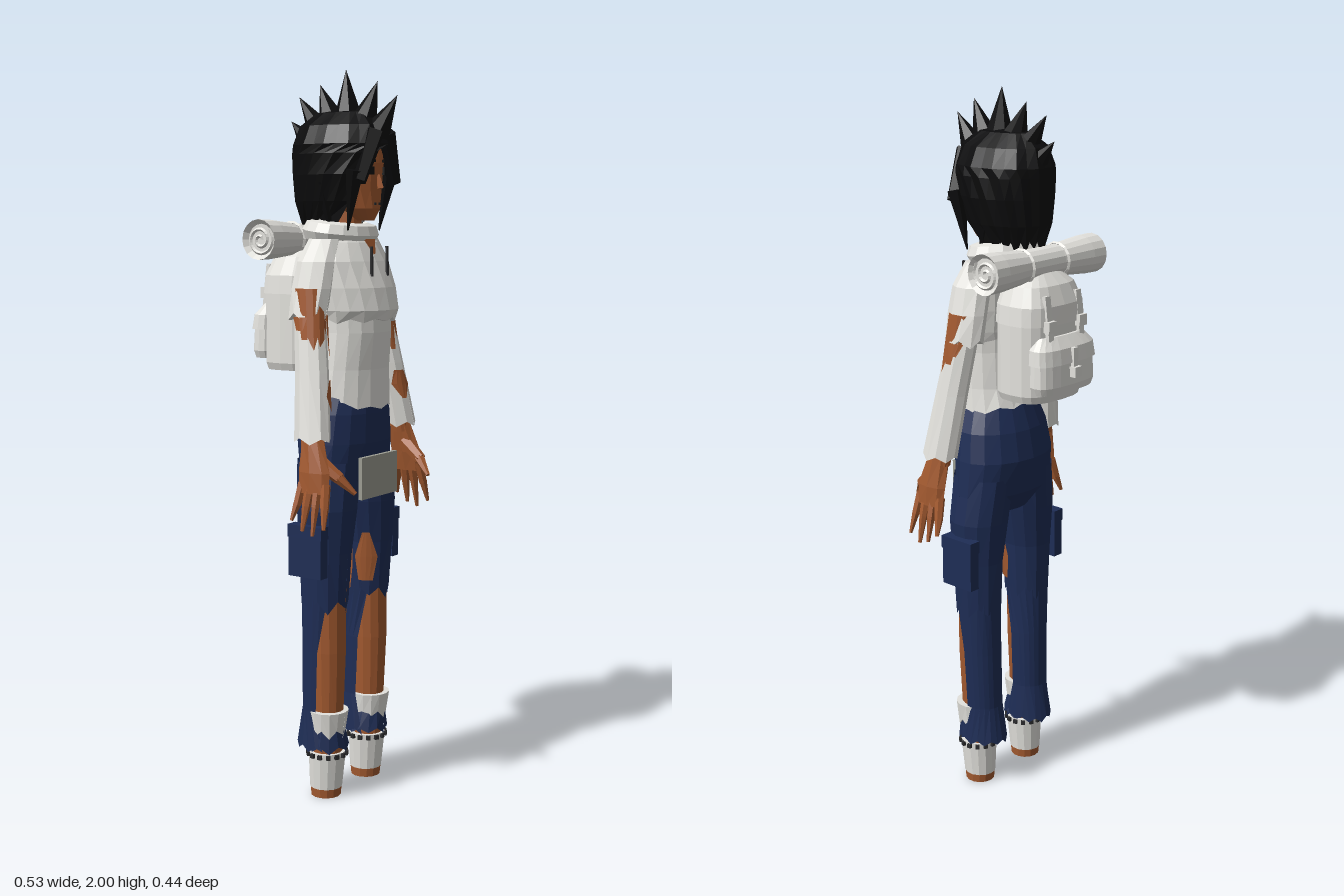
import * as THREE from 'three';

const mat = (name, color, side = THREE.DoubleSide) => {
  const m = new THREE.MeshStandardMaterial({ color, side });
  m.name = name;
  return m;
};

export function createModel() {
  const root = new THREE.Group();
  root.name = 'traveller';
  const skin = mat('skin', 0xa35a30), cloth = mat('offWhiteCloth', 0xe3e2dd), navy = mat('navyDenim', 0x1e2d55);
  const black = mat('blackHair', 0x0b0b0c), grey = mat('greyPanel', 0x9d9e93), dark = mat('darkCord', 0x2c2c2e);

  const add = (name, geo, m, parent = root) => {
    const g = geo.index ? geo.toNonIndexed() : geo;
    g.computeVertexNormals();
    const mesh = new THREE.Mesh(g, m);
    mesh.name = name;
    parent.add(mesh);
    return mesh;
  };

  // Skin over rings [y, cx, cz, rx, rz, opening], listed bottom to top.
  // opening: half-angle left open around direction "face"; rag: jagged bottom hem;
  // tilt: hem raised at the back; wave: strand ridges; p: squareness; s: mirror side.
  function loft(name, rings, m, o = {}) {
    const { seg = 14, s = 1, p = 1, rag = 0, tilt = 0, wave = 0, cap = true, face = 0, parent = root } = o;
    const pw = v => Math.sign(v) * Math.abs(v) ** p;
    const pts = rings.map(([y, cx, cz, rx, rz, gap = 0], i) =>
      Array.from({ length: seg + 1 }, (_, j) => {
        const a = face + gap + (2 * Math.PI - 2 * gap) * j / seg;
        const k = 1 + (j % 2 ? -wave : wave);
        const dy = i ? 0 : (j % 2 ? rag : -rag * 0.3 * (j % 3)) + tilt * (1 - Math.cos(a)) / 2;
        return [s * (cx + rx * k * pw(Math.sin(a))), y + dy, cz + rz * k * pw(Math.cos(a))];
      }));
    const out = [];
    const tri = (a, b, c) => s > 0 ? out.push(...a, ...b, ...c) : out.push(...a, ...c, ...b);
    for (let i = 0; i + 1 < pts.length; i++)
      for (let j = 0; j < seg; j++) {
        const a = pts[i][j], b = pts[i][j + 1], c = pts[i + 1][j + 1], d = pts[i + 1][j];
        tri(a, b, c);
        tri(a, c, d);
      }
    if (cap) {
      const n = pts.length - 1, mid = r => [s * r[1], r[0], r[2]];
      for (let j = 0; j < seg; j++) {
        tri(mid(rings[0]), pts[0][j + 1], pts[0][j]);
        tri(mid(rings[n]), pts[n][j], pts[n][j + 1]);
      }
    }
    const g = new THREE.BufferGeometry();
    g.setAttribute('position', new THREE.Float32BufferAttribute(out, 3));
    return add(name, g, m, parent);
  }
  function box(name, [w, h, d], [x, y, z], m, parent = root) {
    const b = add(name, new THREE.BoxGeometry(w, h, d), m, parent);
    b.position.set(x, y, z);
    return b;
  }
  // Tapered rod from one point to another
  function rod(name, from, to, r0, r1, m, parent = root, seg = 6) {
    const a = new THREE.Vector3(...from), b = new THREE.Vector3(...to), d = b.clone().sub(a);
    const mesh = add(name, new THREE.CylinderGeometry(r1, r0, d.length(), seg), m, parent);
    mesh.position.copy(a).add(b).multiplyScalar(0.5);
    mesh.quaternion.setFromUnitVectors(new THREE.Vector3(0, 1, 0), d.normalize());
    return mesh;
  }

  // Torso and clothing
  loft('trouserSeat', [[0.84, 0, 0.055, 0.08, 0.06], [0.9, 0, 0.055, 0.168, 0.098], [1.0, 0, 0.053, 0.16, 0.113],
    [1.08, 0, 0.06, 0.147, 0.104], [1.16, 0, 0.07, 0.115, 0.085]], navy, { seg: 18 });
  box('frontPanel', [0.175, 0.115, 0.012], [-0.002, 0.907, 0.166], grey);
  loft('shirtBody', [[1.09, 0, 0.072, 0.125, 0.102], [1.2, 0, 0.08, 0.118, 0.091], [1.3, 0, 0.088, 0.113, 0.092],
    [1.38, 0, 0.085, 0.115, 0.09]], cloth, { seg: 18, cap: false, tilt: 0.06, rag: 0.008 });
  loft('shirtTop', [[1.33, 0, 0.09, 0.118, 0.1], [1.36, 0, 0.093, 0.13, 0.107], [1.42, 0, 0.082, 0.138, 0.104],
    [1.49, 0, 0.065, 0.145, 0.09], [1.54, 0, 0.055, 0.115, 0.075], [1.58, 0, 0.045, 0.07, 0.055]],
    cloth, { seg: 18, rag: 0.008 });
  const hood = add('rolledHood', new THREE.TorusGeometry(0.09, 0.033, 7, 16).rotateX(Math.PI / 2), cloth);
  hood.scale.set(1, 0.95, 0.78);
  hood.position.set(0, 1.568, 0.04);
  hood.rotation.x = 0.12;
  const vee = new THREE.Shape([new THREE.Vector2(-0.022, 0.02), new THREE.Vector2(0, -0.022), new THREE.Vector2(0.022, 0.02)]);
  const neckline = add('openNeckline', new THREE.ExtrudeGeometry(vee, { depth: 0.006, bevelEnabled: false }), skin);
  neckline.position.set(0, 1.528, 0.139);
  neckline.rotation.x = -0.4;

  // Legs, arms and hands, mirrored
  for (const s of [1, -1]) {
    const parent = new THREE.Group();
    parent.name = s > 0 ? 'leftLimbs' : 'rightLimbs';
    root.add(parent);
    const o = { s, parent };
    loft('leg', [[0, 0.1, 0.06, 0.042, 0.042], [0.03, 0.1, 0.06, 0.044, 0.045], [0.2, 0.102, 0.066, 0.04, 0.045],
      [0.42, 0.103, 0.068, 0.049, 0.052], [0.62, 0.102, 0.066, 0.052, 0.054]], skin, o);
    loft('trouserThigh', [[0.545, 0.102, 0.058, 0.06, 0.068], [0.7, 0.102, 0.06, 0.068, 0.075],
      [0.82, 0.095, 0.06, 0.083, 0.085], [0.95, 0.08, 0.055, 0.08, 0.09]], navy, { ...o, cap: false, rag: 0.022 });
    loft('tornTrouserBack', [[0.14, 0.098, 0.05, 0.062, 0.078, 1.1], [0.25, 0.098, 0.048, 0.054, 0.058, 1.35],
      [0.42, 0.1, 0.052, 0.056, 0.06, 1.3], [0.58, 0.102, 0.058, 0.06, 0.067, 0.9]],
      navy, { ...o, cap: false, rag: 0.01 });
    loft('innerThighTear', [[0.59, 0.102, 0.058, 0.066, 0.073, 2.85], [0.66, 0.102, 0.06, 0.07, 0.077, 2.7],
      [0.73, 0.101, 0.06, 0.073, 0.079, 3.0]], skin, { ...o, seg: 4, cap: false, face: 2.1 });
    box('thighPocket', [0.032, 0.14, 0.108], [s * 0.178, 0.71, 0.055], navy, parent);
    box('pocketFlap', [0.036, 0.035, 0.112], [s * 0.178, 0.765, 0.055], navy, parent);
    loft('upperAnkleWrap', [[0.185, 0.104, 0.07, 0.05, 0.05], [0.25, 0.104, 0.072, 0.057, 0.056]], cloth, { ...o, rag: 0.014 });
    loft('trouserCuff', [[0.14, 0.098, 0.065, 0.06, 0.06], [0.2, 0.102, 0.068, 0.048, 0.048]], navy, { ...o, rag: 0.012, cap: false });
    loft('lowerAnkleWrap', [[0.025, 0.1, 0.06, 0.045, 0.046], [0.13, 0.1, 0.064, 0.053, 0.053]], cloth, o);
    for (let i = 0; i < 14; i++) {
      const a = i / 14 * Math.PI * 2;
      box('ankleBead', [0.012, 0.012, 0.012], [s * 0.1 + 0.053 * Math.sin(a), 0.123, 0.064 + 0.053 * Math.cos(a)], dark, parent)
        .rotation.y = a;
    }

    loft('arm', [[1.0, 0.213, 0.097, 0.024, 0.034], [1.2, 0.185, 0.075, 0.03, 0.04], [1.42, 0.158, 0.05, 0.036, 0.045]], skin, o);
    loft('shortSleeve', [[1.34, 0.163, 0.045, 0.042, 0.057], [1.42, 0.147, 0.048, 0.043, 0.06],
      [1.49, 0.127, 0.05, 0.045, 0.057], [1.55, 0.09, 0.05, 0.04, 0.045]], cloth, { ...o, seg: 10, rag: 0.015 });
    loft('longSleeve', [[1.02, 0.212, 0.095, 0.038, 0.054], [1.2, 0.184, 0.074, 0.037, 0.049],
      [1.33, 0.165, 0.055, 0.036, 0.046], [1.37, 0.16, 0.05, 0.034, 0.044]], cloth, { ...o, seg: 10, rag: 0.01, cap: false });
    loft('forearmTear', [[1.1, 0.199, 0.086, 0.041, 0.055, 3.0], [1.14, 0.193, 0.081, 0.041, 0.054, 2.5],
      [1.18, 0.187, 0.076, 0.041, 0.053, 2.8]], skin, { ...o, seg: 4, cap: false, face: 2.7 });
    loft('elbowTear', [[1.24, 0.178, 0.068, 0.04, 0.052, 3.0], [1.3, 0.169, 0.06, 0.04, 0.05, 2.75],
      [1.35, 0.163, 0.053, 0.04, 0.05, 2.7]], skin, { ...o, seg: 4, cap: false, face: 2.6 });
    loft('outerSleeveTear', [[1.31, 0.168, 0.058, 0.04, 0.05, 2.9], [1.345, 0.163, 0.053, 0.04, 0.05, 2.6]],
      skin, { ...o, seg: 4, cap: false, face: 4.9 });

    // Hand
    loft('palm', [[0.885, 0.235, 0.115, 0.016, 0.048], [0.94, 0.228, 0.112, 0.022, 0.05], [1.03, 0.212, 0.097, 0.024, 0.034]],
      skin, { ...o, seg: 8 });
    [[0.078, 0.062, 0.81], [0.103, 0.097, 0.785], [0.128, 0.13, 0.775], [0.152, 0.166, 0.795]].forEach(([z0, z1, y]) => {
      rod('finger', [s * 0.232, 0.91, z0], [s * 0.247, 0.85, (z0 + z1) / 2], 0.014, 0.012, skin, parent);
      rod('fingerTip', [s * 0.246, 0.855, (z0 + z1) / 2], [s * 0.262, y, z1], 0.012, 0.005, skin, parent);
    });
    rod('thumbBase', [s * 0.217, 0.97, 0.115], [s * 0.203, 0.925, 0.177], 0.022, 0.016, skin, parent);
    rod('thumbTip', [s * 0.204, 0.928, 0.172], [s * 0.183, 0.885, 0.214], 0.016, 0.006, skin, parent);

    rod('drawstring', [s * 0.038, 1.45, 0.167], [s * 0.038, 1.53, 0.165], 0.005, 0.005, dark, parent);

    // Eye, brow and front hair locks
    box('eye', [0.034, 0.02, 0.006], [s * 0.038, 1.73, 0.155], black, parent).rotation.y = s * 0.45;
    box('brow', [0.042, 0.007, 0.006], [s * 0.038, 1.758, 0.155], black, parent).rotation.set(0, s * 0.45, s * 0.12);
    rod('fringeLock', [s * 0.025, 1.83, 0.165], [s * 0.085, 1.7, 0.158], 0.03, 0.018, black, parent, 5);
    rod('sideLock', [s * 0.085, 1.73, 0.145], [s * 0.076, 1.572, 0.115], 0.026, 0.002, black, parent, 5);
    rod('backLock', [s * 0.085, 1.7, 0.04], [s * 0.078, 1.575, 0.06], 0.028, 0.003, black, parent, 5);
  }

  // Head
  loft('neck', [[1.48, 0, 0.05, 0.045, 0.045], [1.65, 0, 0.06, 0.04, 0.042]], skin);
  loft('face', [[1.598, 0, 0.122, 0.018, 0.024], [1.63, 0, 0.1, 0.048, 0.06], [1.68, 0, 0.082, 0.07, 0.078],
    [1.75, 0, 0.08, 0.08, 0.085], [1.82, 0, 0.075, 0.074, 0.082], [1.86, 0, 0.06, 0.05, 0.05]], skin, { seg: 16 });
  rod('nose', [0, 1.72, 0.16], [0, 1.683, 0.168], 0.005, 0.011, skin, root, 4);
  box('mouth', [0.028, 0.006, 0.006], [0, 1.643, 0.156], dark);

  // Bobbed hair with a row of upright spikes
  loft('bobHair', [[1.585, 0, 0.015, 0.075, 0.085, 1.0], [1.65, 0, 0.03, 0.1, 0.122, 0.78], [1.72, 0, 0.042, 0.114, 0.138, 0.66],
    [1.775, 0, 0.045, 0.116, 0.144, 0.4], [1.8, 0, 0.045, 0.114, 0.144], [1.85, 0, 0.045, 0.092, 0.128],
    [1.885, 0, 0.045, 0.045, 0.085], [1.895, 0, 0.045, 0.005, 0.02]], black, { seg: 26, wave: 0.02, rag: 0.02, cap: false });
  [[0.15, 1.82, 0.22, 1.925], [0.11, 1.85, 0.158, 1.965], [0.065, 1.865, 0.056, 2.0],
    [0.015, 1.86, -0.03, 1.965], [-0.02, 1.83, -0.1, 1.935], [-0.045, 1.79, -0.127, 1.87]].forEach(([z0, y0, z1, y1]) =>
    rod('hairSpike', [0, y0, z0], [0, y1, z1], 0.042, 0, black, root, 7));

  // Backpack
  const pack = new THREE.Group();
  pack.name = 'backpack';
  root.add(pack);
  const sq = { parent: pack, p: 0.7, seg: 20 };
  loft('packBody', [[1.19, 0, -0.08, 0.112, 0.082], [1.21, 0, -0.08, 0.12, 0.087], [1.4, 0, -0.08, 0.12, 0.087],
    [1.47, 0, -0.078, 0.108, 0.08], [1.52, 0, -0.07, 0.075, 0.055]], cloth, sq);
  loft('packLid', [[1.4, 0, -0.081, 0.125, 0.091], [1.45, 0, -0.08, 0.12, 0.088], [1.5, 0, -0.075, 0.098, 0.072],
    [1.53, 0, -0.07, 0.06, 0.045]], cloth, sq);
  loft('rearPocket', [[1.22, 0, -0.16, 0.105, 0.036], [1.24, 0, -0.16, 0.113, 0.041], [1.33, 0, -0.158, 0.11, 0.038],
    [1.36, 0, -0.15, 0.09, 0.025]], cloth, sq);
  loft('rearPocketFlap', [[1.3, 0, -0.16, 0.117, 0.044], [1.34, 0, -0.157, 0.113, 0.04], [1.37, 0, -0.15, 0.085, 0.024]], cloth, sq);
  for (const x of [-0.062, 0.062]) {
    box('packStrap', [0.02, 0.12, 0.012], [x, 1.42, -0.163], cloth, pack).rotation.x = 0.12;
    box('strapBuckle', [0.03, 0.03, 0.02], [x, 1.4, -0.17], cloth, pack);
  }
  box('pocketStrap', [0.018, 0.08, 0.012], [0, 1.3, -0.202], cloth, pack);
  box('pocketBuckle', [0.028, 0.028, 0.02], [0, 1.275, -0.208], cloth, pack);

  // Rolled blanket, flared at its ends
  const roll = add('bedroll', new THREE.LatheGeometry([[0, -0.205], [0.042, -0.205], [0.054, -0.218], [0.053, -0.17],
    [0.043, -0.06], [0.043, 0.06], [0.053, 0.17], [0.054, 0.218], [0.042, 0.205], [0, 0.205]]
    .map(([r, y]) => new THREE.Vector2(r, y)), 16).rotateZ(Math.PI / 2), cloth, pack);
  roll.position.set(0, 1.548, -0.077);
  for (const x of [-0.208, 0.208]) {
    const path = new THREE.CatmullRomCurve3(Array.from({ length: 20 }, (_, i) =>
      new THREE.Vector3(x, 1.548 + (0.005 + i * 0.002) * Math.sin(i * 0.7), -0.077 + (0.005 + i * 0.002) * Math.cos(i * 0.7))));
    add('bedrollSpiral', new THREE.TubeGeometry(path, 40, 0.005, 4), cloth, pack);
  }
  for (const x of [-0.07, 0.07]) {
    const band = add('bedrollBand', new THREE.TorusGeometry(0.045, 0.005, 4, 14).rotateY(Math.PI / 2), cloth, pack);
    band.position.set(x, 1.548, -0.077);
  }
  return root;
}
